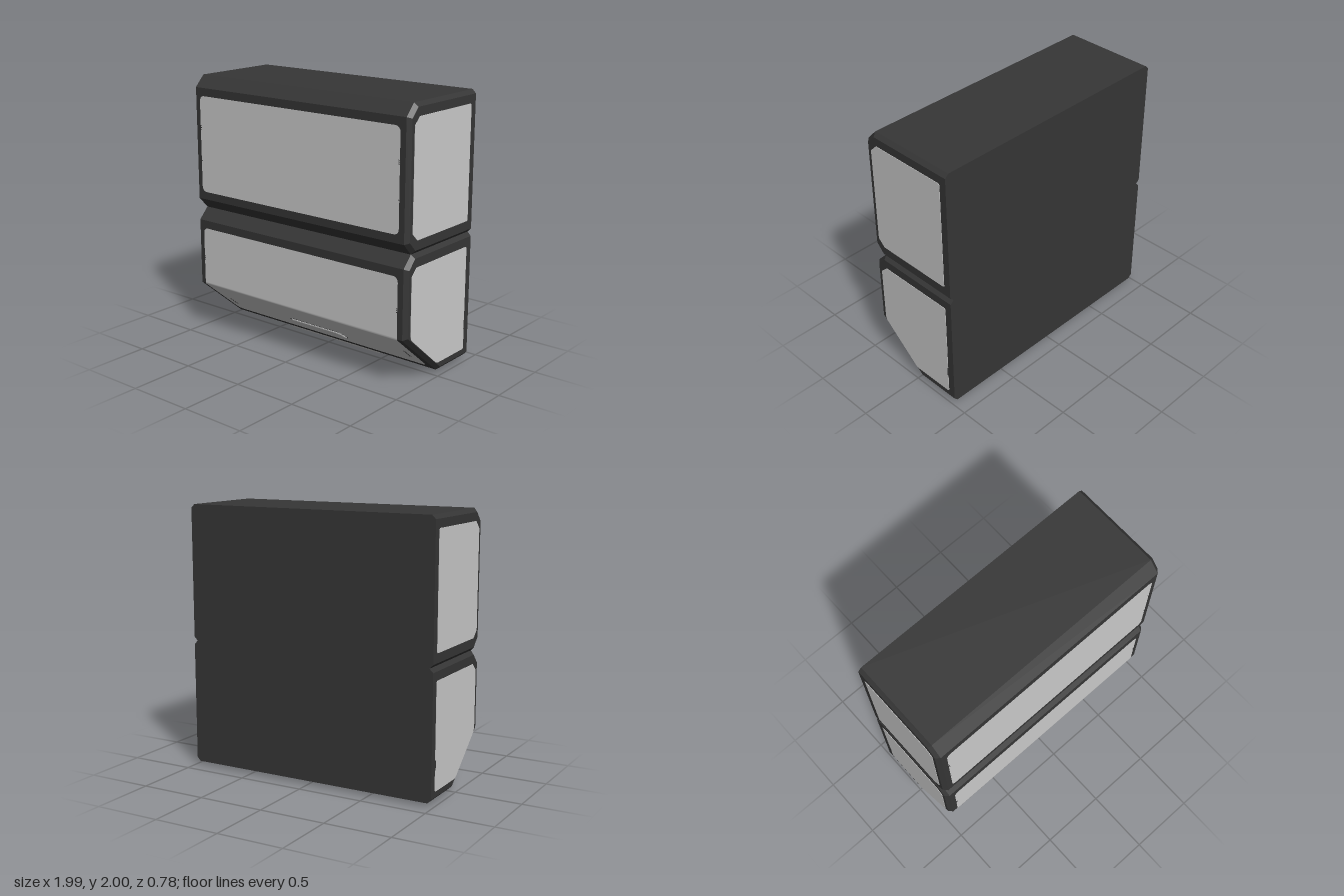
import * as THREE from 'three';

const SLOPE = 0.876; // tilt of the lower front face

const dark = new THREE.MeshStandardMaterial({ color: 0x363636 });
dark.name = 'dark casing';
const light = new THREE.MeshStandardMaterial({ color: 0xcccccc });
light.name = 'light panel';

function add(parent, name, geometry, material, x = 0, y = 0, z = 0) {
  const mesh = new THREE.Mesh(geometry, material);
  mesh.name = name;
  mesh.position.set(x, y, z);
  parent.add(mesh);
  return mesh;
}

// Casing: a [z, y] profile swept along x, stepping to a smaller profile at both ends
function casing(outer, inner) {
  const rings = [[-0.99, inner], [-0.962, outer], [0.962, outer], [0.99, inner]]
    .map(([x, p]) => p.map(([z, y]) => [x, y, z]));
  const n = outer.length, pos = [];
  const tri = (a, b, c) => pos.push(...a, ...b, ...c);
  for (let r = 0; r < 3; r++) {
    for (let i = 0; i < n; i++) {
      const j = (i + 1) % n;
      const a = rings[r][i], b = rings[r][j], c = rings[r + 1][j], d = rings[r + 1][i];
      tri(a, d, c);
      tri(a, c, b);
    }
  }
  for (let i = 1; i < n - 1; i++) {
    tri(rings[0][0], rings[0][i], rings[0][i + 1]);
    tri(rings[3][0], rings[3][i + 1], rings[3][i]);
  }
  // Profiles run clockwise in (z, y), so flip every triangle that faces inward
  const centre = new THREE.Vector3(0, (outer[0][1] + outer[n - 1][1]) / 2, 0);
  const t = new THREE.Triangle(), normal = new THREE.Vector3(), mid = new THREE.Vector3();
  for (let k = 0; k < pos.length; k += 9) {
    t.a.fromArray(pos, k);
    t.b.fromArray(pos, k + 3);
    t.c.fromArray(pos, k + 6);
    t.getNormal(normal);
    if (normal.dot(t.getMidpoint(mid).sub(centre)) < 0) {
      t.c.toArray(pos, k + 3);
      t.b.toArray(pos, k + 6);
    }
  }
  const g = new THREE.BufferGeometry();
  g.setAttribute('position', new THREE.Float32BufferAttribute(pos, 3));
  g.computeVertexNormals();
  return g;
}

// Front panel: rounded sheet, folded back at distance "fold" below its top edge
function frontPanel(top, length, fold) {
  const w = 0.92, r = 0.04, rows = [];
  for (let i = 0; i <= 6; i++) {
    const a = (i / 6) * Math.PI / 2;
    const s = r * (1 - Math.cos(a)), half = w - r + r * Math.sin(a);
    rows.push([s, half], [length - s, half]);
  }
  if (fold < length) for (const d of [-0.012, -0.01, 0, 0.01, 0.012]) rows.push([fold + d, w]);
  rows.sort((a, b) => a[0] - b[0]);
  const pos = [], index = [];
  rows.forEach(([s, half], i) => {
    const over = Math.max(0, s - fold);
    const bend = SLOPE * THREE.MathUtils.clamp((s - fold + 0.01) / 0.02, 0, 1);
    const y = top - Math.min(s, fold) - over * Math.cos(SLOPE) - 0.004 * Math.sin(bend);
    const z = 0.39 - over * Math.sin(SLOPE) + 0.004 * Math.cos(bend);
    pos.push(-half, y, z, half, y, z);
    if (i) {
      const k = 2 * i;
      index.push(k - 2, k, k + 1, k - 2, k + 1, k - 1);
    }
  });
  const g = new THREE.BufferGeometry();
  g.setAttribute('position', new THREE.Float32BufferAttribute(pos, 3));
  g.setIndex(index);
  g.computeVertexNormals();
  return g;
}

const polygon = (points) => new THREE.Shape(points.map(([x, y]) => new THREE.Vector2(x, y)));

// Side panel: thin plate lying in the z-y plane
function sidePanel(points) {
  return new THREE.ExtrudeGeometry(polygon(points), { depth: 0.006, bevelEnabled: false })
    .rotateY(-Math.PI / 2);
}

// Trapezoid with clipped corners for the handle
function handleShape(grow) {
  const b = 0.27 + grow, t = 0.235 + grow, h = 0.043 + grow;
  return polygon([[-b + 0.012, -h], [b - 0.012, -h], [b, -h + 0.018], [t + 0.012, h - 0.016],
    [t - 0.01, h], [-t + 0.01, h], [-t - 0.012, h - 0.016], [-b, -h + 0.018]]);
}

export function createModel() {
  const model = new THREE.Group();
  model.name = 'twoTierCabinet';

  // Upper and lower casings
  add(model, 'upperCasing', casing(
    [[-0.39, 2], [0.31, 2], [0.39, 1.915], [0.39, 1.06], [0.31, 0.975], [-0.39, 0.975]],
    [[-0.39, 1.972], [0.298, 1.972], [0.362, 1.904], [0.362, 1.071], [0.298, 1.003], [-0.39, 1.003]],
  ), dark);
  add(model, 'lowerCasing', casing(
    [[-0.39, 0.975], [0.31, 0.975], [0.39, 0.89], [0.39, 0.38], [-0.03, 0.03], [-0.39, 0.03]],
    [[-0.39, 0.947], [0.298, 0.947], [0.362, 0.878], [0.362, 0.393], [-0.04, 0.058], [-0.39, 0.058]],
  ), dark);

  // Front panels
  add(model, 'upperFrontPanel', frontPanel(1.855, 0.735, 9), light);
  add(model, 'lowerFrontPanel', frontPanel(0.83, 0.934, 0.45), light);

  // Side panels, left and right
  const upperSide = sidePanel([[-0.335, 1.08], [-0.325, 1.072], [0.28, 1.072], [0.335, 1.125],
    [0.335, 1.855], [0.28, 1.91], [-0.325, 1.91], [-0.335, 1.9]]);
  const lowerSide = sidePanel([[-0.335, 0.11], [-0.325, 0.1], [-0.01, 0.1], [0.02, 0.11],
    [0.325, 0.37], [0.335, 0.4], [0.335, 0.83], [0.28, 0.882], [-0.325, 0.882], [-0.335, 0.872]]);
  for (const [side, x] of [['left', 0.993], ['right', -0.987]]) {
    add(model, side + 'UpperSidePanel', upperSide, light, x);
    add(model, side + 'LowerSidePanel', lowerSide, light, x);
  }

  // Handle and slits on the sloping face
  const slope = new THREE.Group();
  slope.name = 'slopeFittings';
  slope.position.set(0, 0.163, 0.13);
  slope.rotation.x = SLOPE;
  model.add(slope);
  add(slope, 'handleSurround',
    new THREE.ExtrudeGeometry(handleShape(0.004), { depth: 0.006, bevelEnabled: false }), dark);
  add(slope, 'handle', new THREE.ExtrudeGeometry(handleShape(-0.006), {
    depth: 0.008, bevelThickness: 0.006, bevelSize: 0.006, bevelSegments: 1,
  }), light);
  for (const side of [-1, 1]) {
    for (const x of [0.84, 0.852]) {
      add(slope, 'slit', new THREE.BoxGeometry(0.004, 0.11, 0.006), dark, side * x, 0.034, 0.002);
    }
    // Small notches at the panel edges
    for (const y of [1.628, 1.615, 1.602, 1.36, 0.603, 0.59, 0.577]) {
      add(model, 'edgeNotch', new THREE.BoxGeometry(0.012, 0.005, 0.006), dark, side * 0.915, y, 0.392);
    }
    add(model, 'sideNotch', new THREE.BoxGeometry(0.006, 0.07, 0.006), dark, side * 0.991, 0.29, -0.333);
  }

  // Foot plate under the base
  const foot = new THREE.ExtrudeGeometry(polygon([[-0.42, -0.05], [0.42, -0.05], [0.445, -0.025],
    [0.445, 0.025], [0.42, 0.05], [-0.42, 0.05], [-0.445, 0.025], [-0.445, -0.025]]), {
    depth: 0.01, bevelThickness: 0.02, bevelSize: 0.015, bevelSegments: 1,
  }).rotateX(Math.PI / 2);
  add(model, 'footPlate', foot, light, 0, 0.03, -0.118);

  return model;
}
